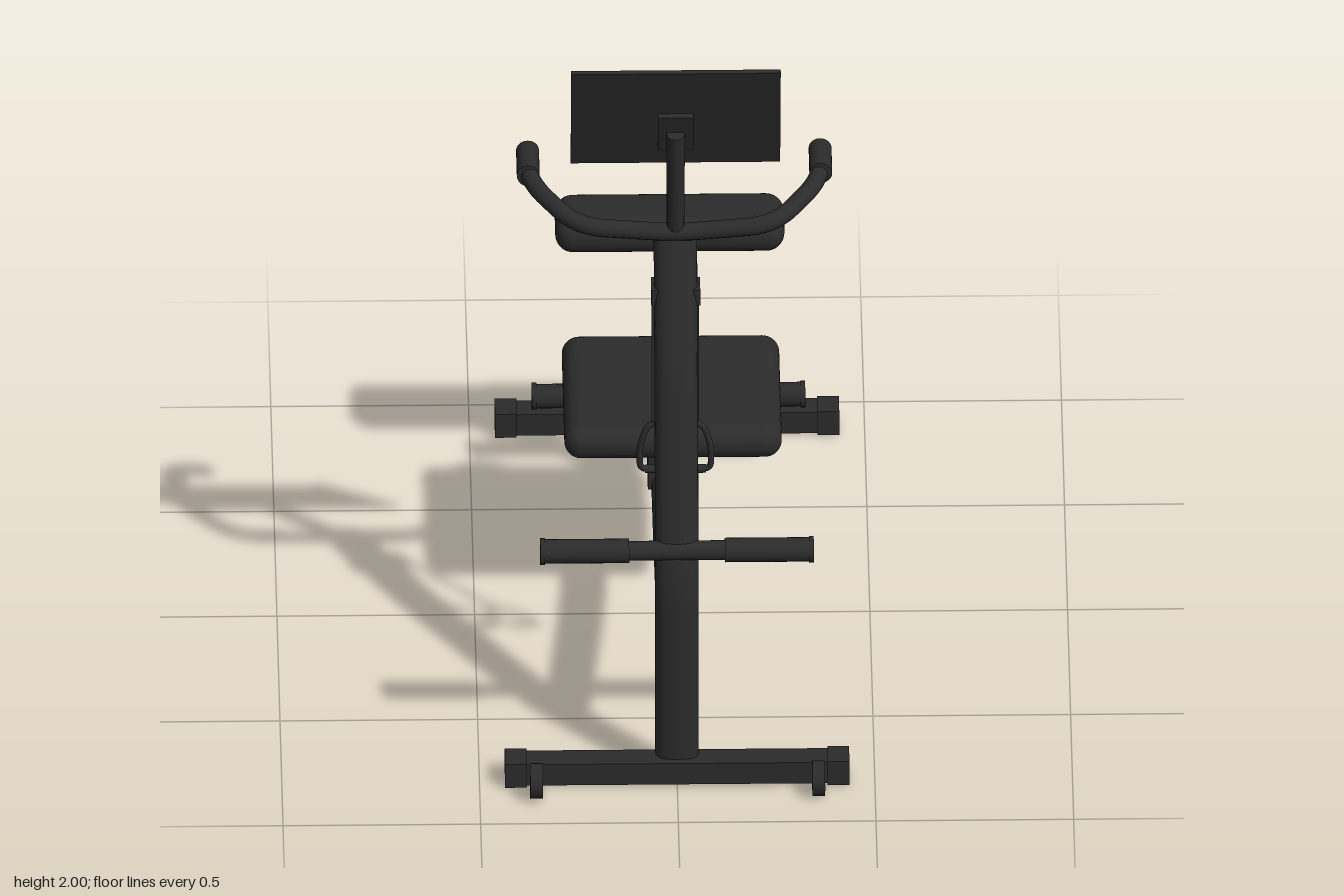
import * as THREE from 'three';
import { mergeGeometries } from 'three/addons/utils/BufferGeometryUtils.js';
import { RoundedBoxGeometry } from 'three/addons/geometries/RoundedBoxGeometry.js';

const V = (x, y, z) => new THREE.Vector3(x, y, z);

// Polyline with rounded corners
function bentPath(points, bend) {
  const path = new THREE.CurvePath();
  let from = points[0];
  for (let i = 1; i < points.length - 1; i++) {
    const p = points[i];
    const toward = (q) => p.clone().add(q.clone().sub(p).setLength(Math.min(bend, p.distanceTo(q) * 0.45)));
    const a = toward(points[i - 1]), b = toward(points[i + 1]);
    path.add(new THREE.LineCurve3(from, a));
    path.add(new THREE.QuadraticBezierCurve3(a, p, b));
    from = b;
  }
  path.add(new THREE.LineCurve3(from, points[points.length - 1]));
  return path;
}

// Capped tube; "widen" splits it sideways into a flat-oval section
function tubeGeometry(points, radius, bend, widen = 0, segments = 64) {
  const path = bentPath(points, bend);
  const parts = [new THREE.TubeGeometry(path, segments, radius, 16)];
  for (const t of [0, 1]) {
    const dir = path.getTangentAt(t).multiplyScalar(t ? 1 : -1);
    const cap = new THREE.CircleGeometry(radius, 16);
    cap.applyQuaternion(new THREE.Quaternion().setFromUnitVectors(V(0, 0, 1), dir));
    const end = points[t ? points.length - 1 : 0];
    cap.translate(end.x, end.y, end.z);
    parts.push(cap);
  }
  const geo = mergeGeometries(parts);
  if (widen) {
    const pos = geo.attributes.position;
    for (let i = 0; i < pos.count; i++) {
      const x = pos.getX(i);
      if (Math.abs(x) > 1e-4) pos.setX(i, x + Math.sign(x) * widen);
    }
  }
  return geo;
}

export function createModel() {
  const model = new THREE.Group();
  const black = new THREE.MeshStandardMaterial({ name: 'black', color: 0x2b2b2b });
  const darkGrey = new THREE.MeshStandardMaterial({ name: 'darkGrey', color: 0x4c4c4c });
  const grey = new THREE.MeshStandardMaterial({ name: 'grey', color: 0x6a6a6a });

  function add(name, geometry, x = 0, y = 0, z = 0, parent = model, material = black) {
    const mesh = new THREE.Mesh(geometry, material);
    mesh.name = name;
    mesh.position.set(x, y, z);
    parent.add(mesh);
    return mesh;
  }
  const box = (w, h, d) => new THREE.BoxGeometry(w, h, d);
  const rod = (r, length) => new THREE.CylinderGeometry(r, r, length, 24).rotateZ(Math.PI / 2);

  // Frame: mast and sloping beam
  add('mast', tubeGeometry([V(0, 0.045, 0.775), V(0, 0.57, 0.775), V(0, 1.11, 0.635), V(0, 1.455, 0.507)], 0.035, 0.07, 0.02));
  add('beam', tubeGeometry([V(0, 0.487, 0.77), V(0, 0.405, 0.24), V(0, 0.367, -0.35), V(0, 0.05, -0.878)], 0.033, 0.09, 0.02));

  // Floor bars with end caps
  for (const [name, z] of [['frontFloorBar', 0.795], ['rearFloorBar', -0.875]]) {
    add(name, box(0.82, 0.062, 0.068), 0, 0.04, z);
    for (const s of [-1, 1]) add(name + 'Cap', box(0.055, 0.07, 0.075), s * 0.408, 0.04, z);
  }

  // Transport wheels
  for (const s of [-1, 1]) {
    add('wheel', rod(0.045, 0.032), s * 0.357, 0.047, 0.867);
    add('wheelBracket', box(0.02, 0.035, 0.06), s * 0.357, 0.045, 0.84);
  }

  // Leg rollers
  for (const [name, y, z] of [['upperRoller', 0.67, 0.77], ['lowerRoller', 0.255, -0.635]]) {
    add(name + 'Bar', rod(0.025, 0.66), 0, y, z);
    for (const s of [-1, 1]) {
      add(name + 'Grip', rod(0.031, 0.22), s * 0.231, y, z);
      add(name + 'EndCap', rod(0.034, 0.012), s * 0.34, y, z);
    }
  }

  // Seat
  add('seatPedestal', box(0.124, 0.17, 0.18), 0, 0.465, -0.075);
  add('seatPlate', box(0.34, 0.015, 0.33), 0, 0.55, -0.08);
  add('seat', new RoundedBoxGeometry(0.55, 0.09, 0.497, 6, 0.043), 0, 0.597, -0.08);

  // Backrest pad on its leaning post
  const post = add('backrestPost', box(0.05, 0.52, 0.048), 0, 0.578, -0.485);
  post.rotation.x = 0.157;
  add('backrestPlate', box(0.12, 0.02, 0.075), 0, 0.838, -0.446);
  add('backrestPad', new RoundedBoxGeometry(0.58, 0.098, 0.183, 6, 0.046), 0, 0.886, -0.448);

  // Handlebar and grips
  const right = [V(0.25, 1.492, 0.535), V(0.37, 1.54, 0.395), V(0.37, 1.546, 0.24), V(0.37, 1.41, 0.172)];
  const left = right.map((p) => V(-p.x, p.y, p.z)).reverse();
  add('handlebar', tubeGeometry([...left, V(0, 1.468, 0.53), ...right], 0.023, 0.07, 0, 120));
  for (const s of [-1, 1]) {
    add('handGrip', rod(0.029, 0.12).rotateY(Math.PI / 2), s * 0.37, 1.543, 0.312);
  }

  // Chart board on its stem, tilted toward the rider
  add('boardStem', tubeGeometry([V(0, 1.46, 0.525), V(0, 1.79, 0.576)], 0.023, 0.05, 0, 4));
  const board = new THREE.Group();
  board.name = 'board';
  board.position.set(0, 1.835, 0.5625);
  board.rotation.x = 0.308;
  model.add(board);
  add('boardPanel', box(0.53, 0.346, 0.012), 0, 0, 0, board);
  add('boardMount', box(0.09, 0.125, 0.014), 0, -0.045, 0.013, board);
  for (let col = -1; col <= 1; col++) {
    for (let row = 0; row < 2; row++) {
      const y = 0.065 - row * 0.155;
      add('chartCellTop', box(0.148, 0.06, 0.004), col * 0.168, y + 0.034, -0.007, board, darkGrey);
      add('chartCellBottom', box(0.148, 0.07, 0.004), col * 0.168, y - 0.031, -0.007, board, grey);
    }
  }

  // Pull straps with stirrup handles hanging from a clamp
  add('strapClamp', box(0.124, 0.046, 0.064), 0, 1.305, 0.55);
  for (const s of [-1, 1]) {
    const x = s * 0.052;
    const strap = add('strap', box(0.016, 0.42, 0.006), x, 1.09, 0.516);
    strap.rotation.x = 0.025;
    add('stirrup', tubeGeometry([
      V(x, 0.892, 0.511), V(x - 0.022, 0.875, 0.511), V(x - 0.038, 0.82, 0.511), V(x - 0.038, 0.752, 0.511),
      V(x + 0.038, 0.752, 0.511), V(x + 0.038, 0.82, 0.511), V(x + 0.022, 0.875, 0.511), V(x, 0.892, 0.511),
    ], 0.008, 0.02));
    add('stirrupGrip', rod(0.011, 0.05), x, 0.752, 0.511);
  }
  return model;
}
